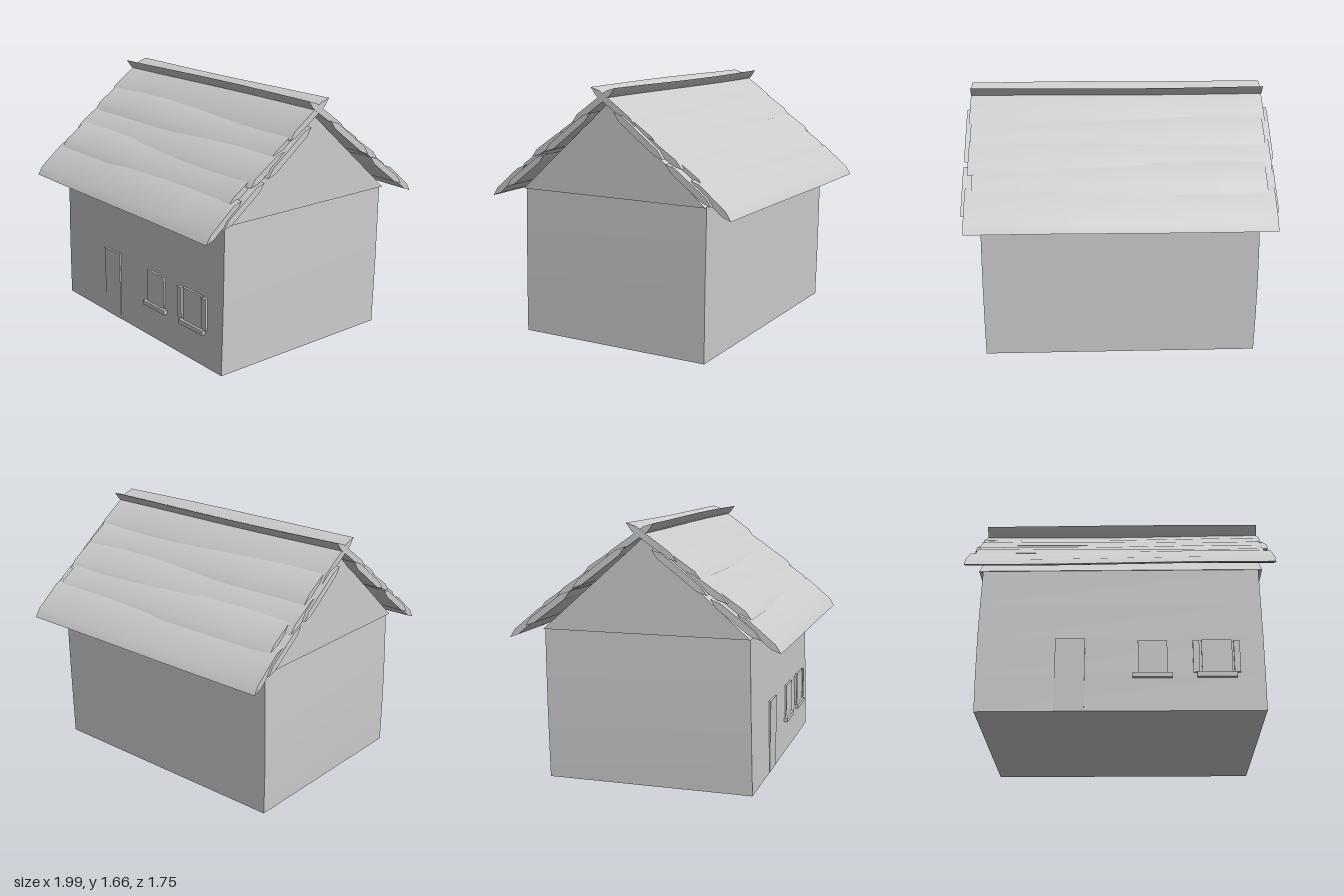
import * as THREE from 'three';
import { toCreasedNormals } from 'three/addons/utils/BufferGeometryUtils.js';

const stone = new THREE.MeshStandardMaterial({ color: 0xcccccc });
stone.name = 'pale grey';

function add(parent, name, geometry) {
  const mesh = new THREE.Mesh(geometry, stone);
  mesh.name = name;
  parent.add(mesh);
  return mesh;
}

// Box given by its min and max on each axis
function block(parent, name, x0, x1, y0, y1, z0, z1) {
  const mesh = add(parent, name, new THREE.BoxGeometry(x1 - x0, y1 - y0, z1 - z0));
  mesh.position.set((x0 + x1) / 2, (y0 + y1) / 2, (z0 + z1) / 2);
  return mesh;
}

// Walls lean and bulge a little
function wallGeometry() {
  const h = 0.975;
  const g = new THREE.BoxGeometry(1.77, h, 1.33, 1, 4, 1).translate(0, h / 2, 0);
  const p = g.attributes.position;
  for (let i = 0; i < p.count; i++) {
    const t = p.getY(i) / h;
    p.setX(i, p.getX(i) + 0.008 * Math.sin(t * Math.PI) * (p.getX(i) < 0 ? -1 : 0.5));
    p.setZ(i, p.getZ(i) > 0 ? 0.688 - 0.024 * t : -0.652 - 0.014 * t);
  }
  g.computeVertexNormals();
  return g;
}

// Long board with bevelled edges, lying on the slope from u0 (low) to u1 (high),
// lifted by n0 and n1 at those edges, and slightly warped along its length
function boardGeometry([u0, u1, n0, n1, x0, x1], seed) {
  const half = 0.02, bevel = 0.06;
  const at = (u, n) => new THREE.Vector2(-0.87 + 0.793 * u - 0.611 * n, 0.915 + 0.611 * u + 0.793 * n);
  const lift = (u) => n0 + (n1 - n0) * (u - u0) / (u1 - u0);
  const a = u0 + bevel, b = u1 - bevel;
  const shape = new THREE.Shape([
    at(u0, n0), at(a, lift(a) - half), at(b, lift(b) - half),
    at(u1, n1), at(b, lift(b) + half), at(a, lift(a) + half),
  ]);
  const g = new THREE.ExtrudeGeometry(shape, { depth: x1 - x0, steps: 6, bevelEnabled: false });
  g.rotateY(Math.PI / 2).translate(x0, 0, 0);
  const p = g.attributes.position;
  for (let i = 0; i < p.count; i++) {
    const warp = 0.004 * Math.sin(p.getX(i) * 2.6 + seed * 1.9);
    p.setY(i, p.getY(i) + warp);
    p.setZ(i, p.getZ(i) + warp * 0.7);
  }
  return toCreasedNormals(g, 0.4);
}

// Boards of one roof slope: u0, u1, n0, n1, x0, x1
const boards = [
  [0.00, 0.34, 0.0, 0.012, -0.975, 0.972],
  [0.14, 0.52, -0.012, -0.016, -0.995, 0.985],
  [0.26, 0.56, 0.024, 0.008, -0.935, 0.93],
  [0.43, 0.75, 0.02, 0.0, -0.965, 0.975],
  [0.55, 0.98, -0.012, -0.014, -0.992, 0.995],
  [0.64, 0.94, 0.022, 0.002, -0.96, 0.95],
  [0.82, 1.205, 0.016, 0.0, -0.972, 0.97],
];

function roofSlope(name, seed) {
  const slope = new THREE.Group();
  slope.name = name;
  boards.forEach((b, i) => add(slope, 'roofBoard' + (i + 1), boardGeometry(b, i + seed)));
  return slope;
}

export function createModel() {
  const house = new THREE.Group();
  house.name = 'cottage';
  add(house, 'walls', wallGeometry());

  // Gable prism, overhanging the end walls slightly
  const tri = new THREE.Shape([
    new THREE.Vector2(-0.668, 0.972), new THREE.Vector2(0.668, 0.972), new THREE.Vector2(0, 1.56),
  ]);
  const gable = new THREE.ExtrudeGeometry(tri, { depth: 1.82, bevelEnabled: false });
  add(house, 'gable', gable.rotateY(Math.PI / 2).translate(-0.91, 0, 0));

  // Two slopes whose top boards cross at the ridge
  house.add(roofSlope('frontRoof', 0));
  const back = roofSlope('backRoof', 5);
  back.rotation.y = Math.PI;
  back.position.y = 0.006;
  house.add(back);

  // Door and windows
  block(house, 'door', -0.405, -0.22, 0, 0.48, 0.64, 0.69);
  block(house, 'windowPane', 0.108, 0.29, 0.24, 0.468, 0.64, 0.69);
  block(house, 'windowSill', 0.075, 0.317, 0.216, 0.246, 0.64, 0.706);
  block(house, 'shutteredPane', 0.502, 0.69, 0.24, 0.468, 0.64, 0.69);
  block(house, 'shutteredSill', 0.47, 0.715, 0.216, 0.246, 0.64, 0.706);
  block(house, 'shutterRight', 0.448, 0.488, 0.25, 0.462, 0.64, 0.695);
  block(house, 'shutterLeft', 0.7, 0.738, 0.25, 0.462, 0.64, 0.695);
  return house;
}
